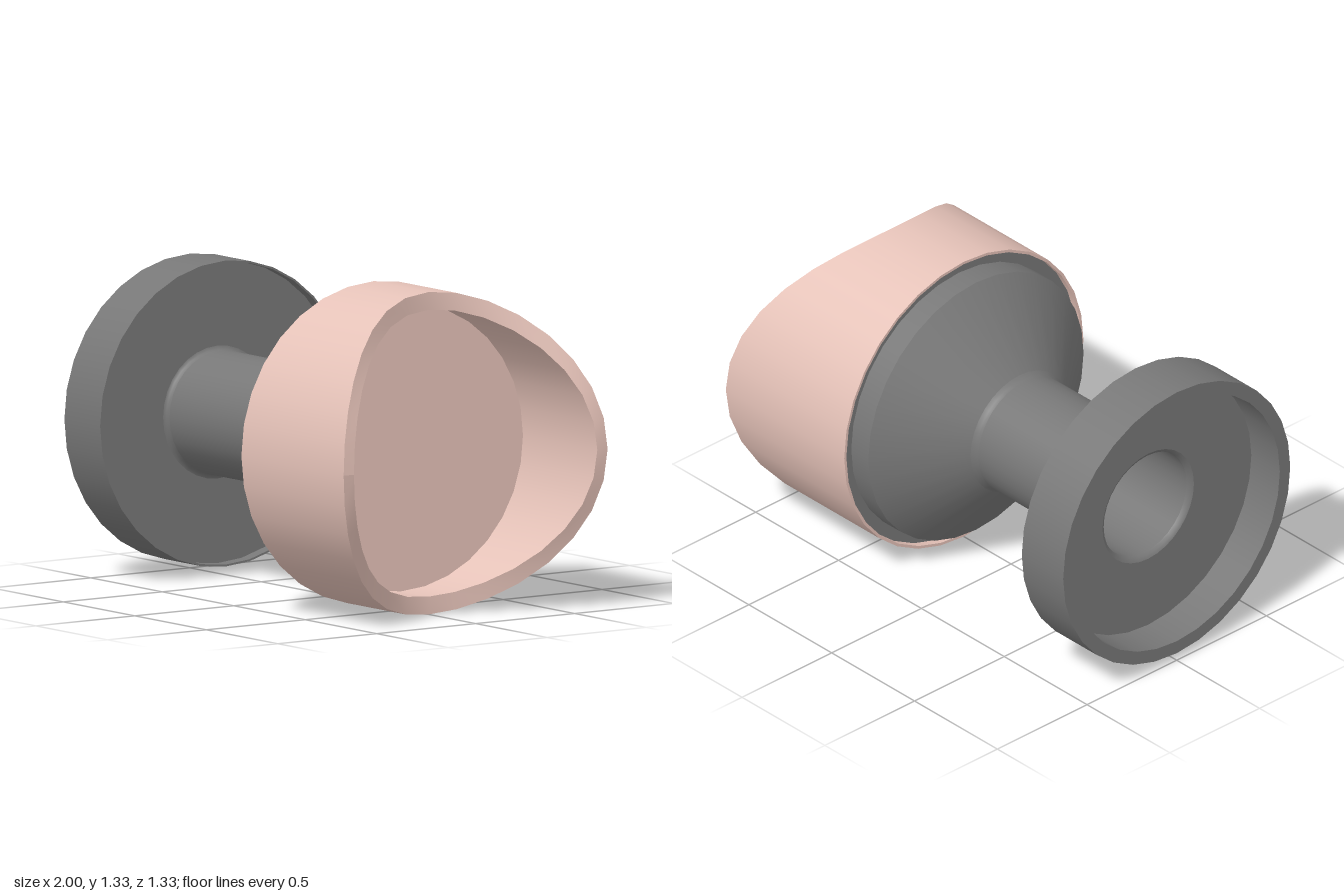
import * as THREE from 'three';

const SEGMENTS = 32;
const AXIS_Y = 0.669;

// Each run is a smooth strip of [radius, x] points; edges between runs stay sharp.
function turned(name, runs, material, shape) {
  const group = new THREE.Group();
  group.name = name;
  for (const run of runs) {
    const points = run.map(([r, x]) => new THREE.Vector2(r, x));
    const geometry = new THREE.LatheGeometry(points, SEGMENTS);
    if (shape) shape(geometry);
    geometry.rotateZ(-Math.PI / 2); // lathe axis becomes +x
    const mesh = new THREE.Mesh(geometry, material);
    mesh.name = name + 'Surface';
    group.add(mesh);
  }
  group.position.y = AXIS_Y;
  return group;
}

// Saddle-shaped mouth: the rim follows a circular arc seen from the front.
// The inside is slightly narrower in height than in depth.
function saddle(geometry) {
  const p = geometry.attributes.position;
  for (let i = 0; i < p.count; i++) {
    const x = p.getX(i), y = p.getY(i), z = p.getZ(i);
    const r = Math.hypot(x, z);
    if (y > 0.99) {
      const s = x / r;
      p.setY(i, 0.158 + Math.sqrt(0.709 - 0.445 * s * s));
    }
    if (r < 0.63) p.setX(i, x * 0.965);
  }
}

function saddleRim(geometry) {
  saddle(geometry);
  geometry.computeVertexNormals();
}

export function createModel() {
  const grey = new THREE.MeshStandardMaterial({ color: 0x787878 });
  grey.name = 'darkGrey';
  const pink = new THREE.MeshStandardMaterial({ color: 0xe6c3b9 });
  pink.name = 'palePink';

  const model = new THREE.Group();
  model.name = 'mount';

  // Flange: a thin web inside a ring, recessed on both faces
  model.add(turned('flange', [
    [[0.575, -1], [0.633, -1]],
    [[0.633, -1], [0.633, -0.75]],
    [[0.633, -0.75], [0.625, -0.75]],
    [[0.625, -0.75], [0.625, -0.805]],
    [[0.625, -0.805], [0.275, -0.805]],
    [[0.575, -0.828], [0.575, -1]],
    [[0.255, -0.828], [0.575, -0.828]],
  ], grey));

  // Hollow stem flaring into the head
  model.add(turned('stem', [
    [[0.275, -0.805], [0.262, -0.8], [0.257, -0.785]],
    [[0.257, -0.785], [0.257, -0.08]],
    [[0.257, -0.08], [0.26, -0.065], [0.272, -0.05]],
    [[0.272, -0.05], [0.6, 0.212]],
    [[0.6, 0.212], [0.6, 0.315]],
  ], grey));

  // Recessed back face of the head collar
  model.add(turned('collar', [[[0.6, 0.315], [0.655, 0.315]]], grey));

  // Bore through the stem
  model.add(turned('bore', [
    [[0.235, 0.15], [0.235, -0.805]],
    [[0.235, -0.805], [0.241, -0.82], [0.255, -0.828]],
    [[0, 0.15], [0.235, 0.15]],
  ], grey));

  // Cup walls and floor
  model.add(turned('cup', [
    [[0.655, 0.315], [0.655, 0.285]],
    [[0.655, 0.285], [0.667, 0.285]],
    [[0.667, 0.285], [0.667, 1]],
    [[0.615, 1], [0.615, 0.48]],
    [[0.615, 0.48], [0, 0.48]],
  ], pink, saddle));

  // Curved lip of the cup
  model.add(turned('cupLip', [[[0.667, 1], [0.615, 1]]], pink, saddleRim));

  return model;
}
